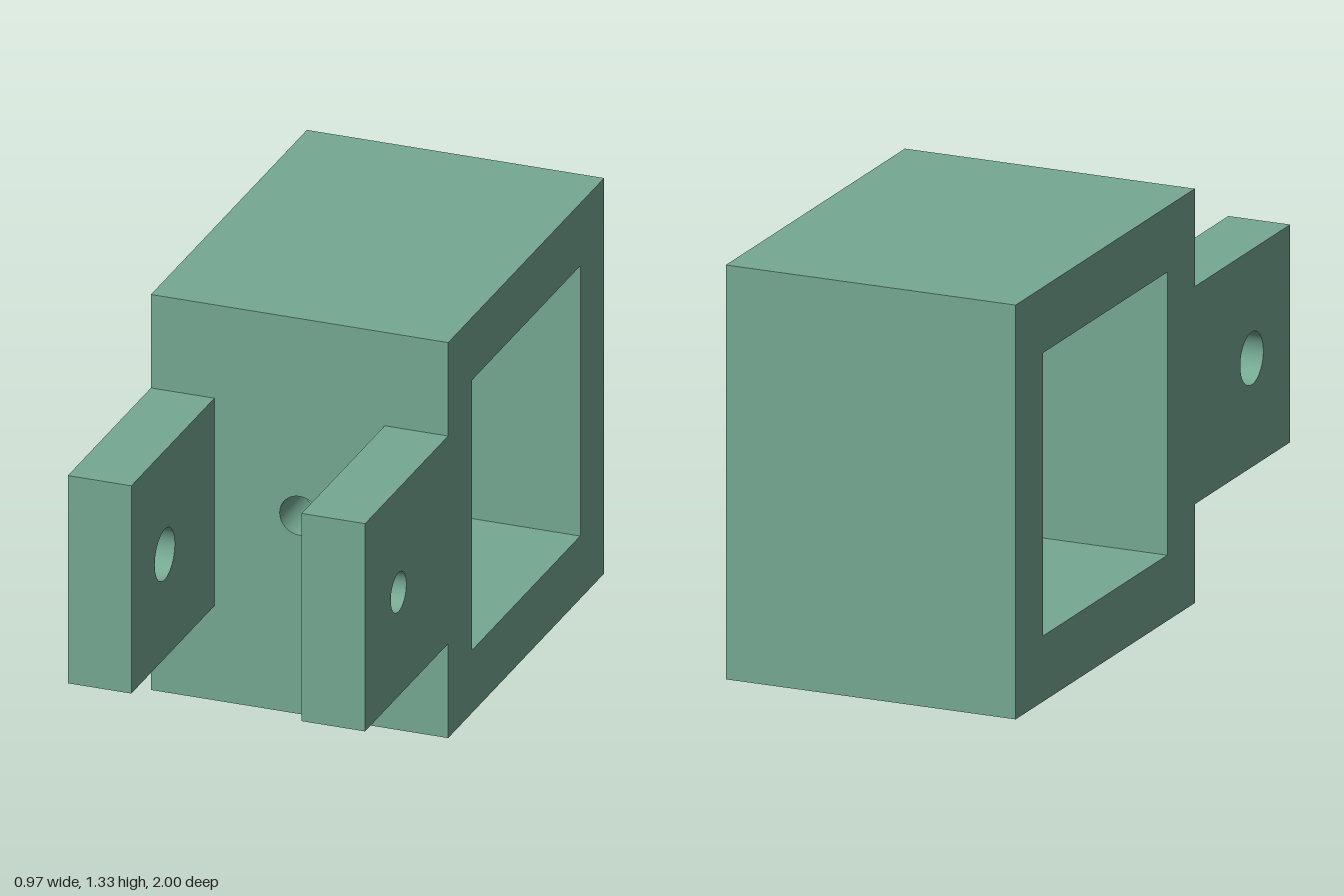
import * as THREE from 'three';

const HALF_W = 0.487, HEIGHT = 1.325, BACK = -1, FRONT = 0.305;
const WIN = { back: -0.8, front: 0.105, bottom: 0.21, top: 1.115 };
const MID_Y = 0.664;

const material = new THREE.MeshStandardMaterial({ color: 0x75a892 });

function polygon(points) {
  return new THREE.Shape(points.map(([a, b]) => new THREE.Vector2(a, b)));
}

function rectangle(a0, b0, a1, b1) {
  return polygon([[a0, b0], [a1, b0], [a1, b1], [a0, b1]]);
}

function drill(shape, a, b, r) {
  const hole = new THREE.Path();
  hole.absarc(a, b, r, 0, Math.PI * 2, true);
  shape.holes.push(hole);
  return shape;
}

function extrude(name, shape, depth) {
  const geometry = new THREE.ExtrudeGeometry(shape, { depth, bevelEnabled: false, curveSegments: 48 });
  const mesh = new THREE.Mesh(geometry, material);
  mesh.name = name;
  return mesh;
}

// Side profiles are drawn as (-z, y) and swept along x from x0 to x1
function sweepX(name, shape, x0, x1) {
  const mesh = extrude(name, shape, x1 - x0);
  mesh.geometry.rotateY(Math.PI / 2).translate(x0, 0, 0);
  return mesh;
}

export function createModel() {
  const group = new THREE.Group();
  group.name = 'clevisBracket';

  // Top, back and bottom walls as one channel, open to the front
  const channel = polygon([
    [-FRONT, 0], [-BACK, 0], [-BACK, HEIGHT], [-FRONT, HEIGHT],
    [-FRONT, WIN.top], [-WIN.back, WIN.top], [-WIN.back, WIN.bottom], [-FRONT, WIN.bottom],
  ]);
  group.add(sweepX('bodyChannel', channel, -HALF_W, HALF_W));

  // Front wall with its central bolt hole
  const wall = drill(rectangle(-HALF_W, WIN.bottom, HALF_W, WIN.top), 0, MID_Y, 0.065);
  const frontWall = extrude('frontWall', wall, FRONT - WIN.front);
  frontWall.geometry.translate(0, 0, WIN.front);
  group.add(frontWall);

  // Two forward lugs; the pin hole is wider on the right one
  const lug = (radius) => drill(rectangle(-1, 0.316, -FRONT, 1.012), -0.72, MID_Y, radius);
  group.add(sweepX('leftLug', lug(0.065), 0.279, HALF_W));
  group.add(sweepX('rightLug', lug(0.084), -HALF_W, -0.279));

  return group;
}
